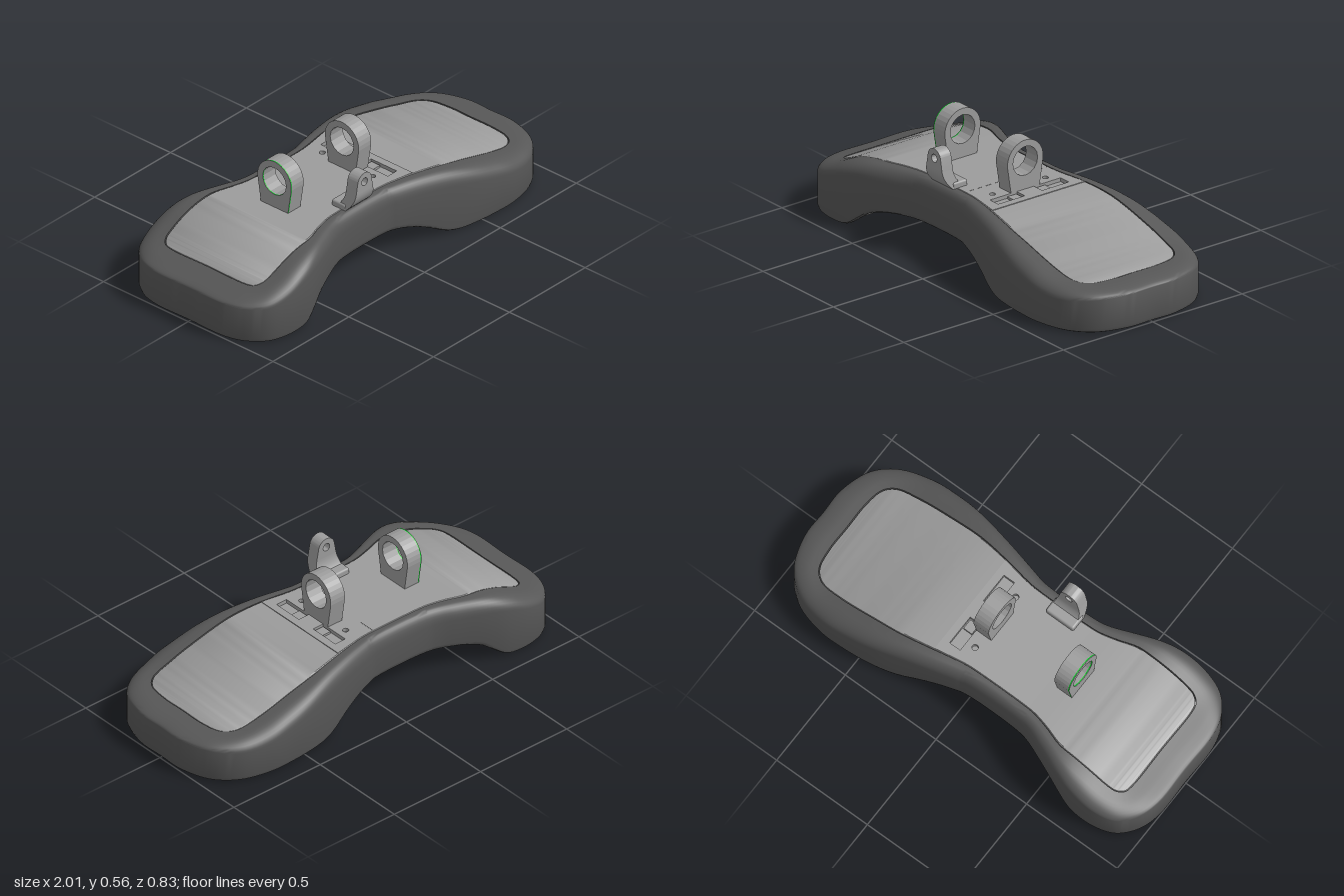
import * as THREE from 'three';
import { toCreasedNormals } from 'three/addons/utils/BufferGeometryUtils.js';
import { RoundedBoxGeometry } from 'three/addons/geometries/RoundedBoxGeometry.js';

const grey = new THREE.MeshStandardMaterial({ color: 0x9c9c9c });
const rubber = new THREE.MeshStandardMaterial({ color: 0x575757 });
const green = new THREE.MeshStandardMaterial({ color: 0x00cc22 });

// Smooth height profile through [x, y] points
function profile(pts) {
  const slope = (i) => {
    const a = pts[Math.max(i - 1, 0)], b = pts[Math.min(i + 1, pts.length - 1)];
    return (b[1] - a[1]) / (b[0] - a[0]);
  };
  return (x) => {
    x = THREE.MathUtils.clamp(x, pts[0][0], pts[pts.length - 1][0]);
    let i = 0;
    while (i < pts.length - 2 && x > pts[i + 1][0]) i++;
    const [x0, y0] = pts[i], [x1, y1] = pts[i + 1], h = x1 - x0, t = (x - x0) / h;
    const s = t * t * (3 - 2 * t);
    return y0 + (y1 - y0) * s + h * t * (1 - t) * ((1 - t) * slope(i) - t * slope(i + 1));
  };
}
const top = profile([[-1, 0.2], [-0.95, 0.204], [-0.88, 0.22], [-0.8, 0.25], [-0.7, 0.293], [-0.6, 0.319], [-0.48, 0.327],
  [-0.3, 0.327], [0.1, 0.327], [0.2, 0.323], [0.32, 0.31], [0.45, 0.284], [0.6, 0.246], [0.75, 0.208], [0.85, 0.195], [1, 0.19]]);
const bottom = profile([[-1, 0], [-0.72, 0], [-0.66, 0.012], [-0.6, 0.054], [-0.55, 0.09], [-0.47, 0.112],
  [-0.35, 0.12], [0, 0.12], [0.1, 0.106], [0.2, 0.07], [0.3, 0.017], [0.37, 0.001], [0.45, 0], [1, 0]]);

// Half outlines in plan (x, z): outer edge and matching edge of the deck panel
const outer = [[-1, 0], [-1, 0.2], [-0.97, 0.3], [-0.9, 0.38], [-0.8, 0.413], [-0.68, 0.413], [-0.58, 0.39], [-0.45, 0.341],
  [-0.36, 0.306], [-0.3, 0.293], [0, 0.293], [0.05, 0.305], [0.25, 0.355], [0.45, 0.4], [0.58, 0.413], [0.7, 0.412],
  [0.85, 0.37], [0.95, 0.28], [1, 0.13], [1, 0]];
const inner = [[-0.87, 0], [-0.87, 0.22], [-0.86, 0.26], [-0.83, 0.285], [-0.79, 0.293], [-0.6, 0.293], [-0.52, 0.288], [-0.43, 0.26],
  [-0.35, 0.24], [-0.3, 0.235], [0, 0.235], [0.05, 0.24], [0.22, 0.27], [0.35, 0.288], [0.5, 0.293], [0.68, 0.292],
  [0.8, 0.275], [0.85, 0.23], [0.87, 0.13], [0.87, 0]];
const M = 114;
const sample = (pts) => new THREE.CatmullRomCurve3(pts.map(([x, z]) => new THREE.Vector3(x, 0, z))).getPoints(M);
const outerPts = sample(outer), innerPts = sample(inner);

// Closed plan loop, u = 0 at the outer edge and u = 1 at the panel edge
function ring(u, height) {
  const half = outerPts.map((p, i) => p.clone().lerp(innerPts[i], u));
  const back = half.slice(1, M).reverse().map((p) => new THREE.Vector3(p.x, 0, -p.z));
  const loop = half.concat(back);
  loop.forEach((p) => { p.y = height(p.x); });
  return loop;
}

// Skin over rings from the underside to the top; strips cap the ends, open between indices lo and hi of the top
function loft(rings, capBottom, lo = 0, hi = 0) {
  const n = 2 * M, idx = [], pos = rings.flat().flatMap((p) => [p.x, p.y, p.z]);
  for (let k = 0; k < rings.length - 1; k++) for (let i = 0; i < n; i++) {
    const a = k * n + i, b = k * n + (i + 1) % n;
    idx.push(a, b, b + n, a, b + n, a + n);
  }
  const base = (rings.length - 1) * n;
  for (let i = 0; i < M; i++) {
    const j = (n - i) % n, l = n - i - 1;
    if (i < lo || i >= hi) idx.push(base + i, base + i + 1, base + l, base + i, base + l, base + j);
    if (capBottom) idx.push(i, l, i + 1, i, j, l);
  }
  const g = new THREE.BufferGeometry();
  g.setAttribute('position', new THREE.Float32BufferAttribute(pos, 3));
  g.setIndex(idx);
  return toCreasedNormals(g, 0.6);
}

// Moves every vertex by a rule
function warp(g, rule) {
  const p = g.attributes.position, v = new THREE.Vector3();
  for (let i = 0; i < p.count; i++) {
    v.fromBufferAttribute(p, i);
    rule(v);
    p.setXYZ(i, v.x, v.y, v.z);
  }
  g.computeVertexNormals();
  return g;
}

export function createModel() {
  const model = new THREE.Group();
  const add = (name, geometry, material = grey, parent = model) => {
    const m = new THREE.Mesh(geometry, material);
    m.name = name;
    parent.add(m);
  };

  // Rubber body: hollow underside, rounded foot edge, straight wall, rounded shoulder
  const radius = (x) => 0.07 - 0.045 * x ** 4;
  const rings = [[0.35, 0.022], [0.33, 0], [0.15, 0], [0.05, 0.006], [0, 0.022]].map(([u, h]) => ring(u, (x) => bottom(x) + h));
  for (let k = 0; k <= 8; k++) {
    const a = k / 8 * Math.PI / 2;
    rings.push(ring(0.7 * (1 - Math.cos(a)), (x) => top(x) - radius(x) * (1 - Math.sin(a))));
  }
  rings.push(ring(1, top), ring(1.01, (x) => top(x) - 0.022));
  add('body', loft(rings, true), rubber);

  // Deck panel set into the body, open where the mounting plate sits
  const deckEdge = ring(1.08, (x) => top(x) + 0.001);
  const lo = deckEdge.findIndex((p) => p.x > -0.05), hi = deckEdge.findIndex((p) => p.x > 0.17);
  add('deckPanel', loft([ring(1.04, (x) => top(x) - 0.02), ring(1.04, (x) => top(x) - 0.002), deckEdge], false, lo, hi));

  // Mounting plate with two slots and two screw holes
  const side = deckEdge.slice(lo, hi + 1);
  const plate = new THREE.Shape([
    ...side.map((p) => new THREE.Vector2(p.x, -p.z)),
    ...side.reverse().map((p) => new THREE.Vector2(p.x, p.z)),
  ]);
  for (const s of [-1, 1]) {
    const a = s * 0.048, b = s * 0.198;
    plate.holes.push(new THREE.Path([[0.095, a], [0.095, b], [0.153, b], [0.153, a]].map((p) => new THREE.Vector2(...p))));
    plate.holes.push(new THREE.Path().absarc(0.05, s * 0.148, 0.014, 0, Math.PI * 2, true));
    add('slotBlock', new THREE.BoxGeometry(0.046, 0.016, 0.05).translate(0.124, 0.313, s * 0.08));
  }
  add('mountingPlate', new THREE.ExtrudeGeometry(plate, { depth: 0.018, bevelEnabled: false }).rotateX(-Math.PI / 2).translate(0, 0.31, 0));
  add('slotFloor', new THREE.BoxGeometry(0.13, 0.004, 0.42).translate(0.09, 0.308, 0));

  // Low ribs and round bosses in the hollow underside
  const ribs = new THREE.Group();
  ribs.name = 'undersideRibs';
  model.add(ribs);
  const follow = (v) => { v.y += bottom(v.x) + 0.017; };
  for (const z of [-0.21, -0.07, 0.07, 0.21])
    add('longRib', toCreasedNormals(warp(new THREE.BoxGeometry(1.82, 0.014, 0.012, 90).translate(0, 0, z), follow), 0.6), rubber, ribs);
  const lip = ring(0.35, bottom).slice(0, M + 1);
  for (let x = -0.84; x < 0.9; x += 0.168) {
    const edge = lip.reduce((a, b) => (Math.abs(b.x - x) < Math.abs(a.x - x) ? b : a));
    add('crossRib', warp(new THREE.BoxGeometry(0.012, 0.014, 2 * edge.z).translate(x, 0, 0), follow), rubber, ribs);
  }
  for (const x of [-0.8, 0.76])
    add('boss', new THREE.TorusGeometry(0.06, 0.008, 8, 32).rotateX(Math.PI / 2).translate(x, 0.018, 0), rubber, ribs);

  // Ring brackets: a tapering foot under a round eye
  const eye = new THREE.Shape();
  eye.moveTo(-0.078, 0.315);
  eye.lineTo(0.078, 0.315);
  eye.absarc(0, 0.463, 0.1, -0.1, Math.PI + 0.1, false);
  eye.closePath();
  eye.holes.push(new THREE.Path().absarc(0, 0.463, 0.069, 0, Math.PI * 2, true));
  const slice = (x0, x1) => new THREE.ExtrudeGeometry(eye, { depth: x1 - x0, bevelEnabled: false, curveSegments: 8 })
    .rotateY(Math.PI / 2).translate(x0, 0, 0);
  add('innerBracket', slice(0.013, 0.095));
  add('outerBracket', slice(-0.426, -0.35));
  add('bracketStripe', slice(-0.43, -0.426), green);
  add('bracketFace', slice(-0.432, -0.43));

  // Lever on the front edge: an eye on a flared neck that curves back into its foot
  const lever = new THREE.Group();
  lever.name = 'lever';
  lever.position.x = -0.172;
  model.add(lever);
  const halfWidth = (y) => 0.077 - 0.029 * (y - 0.32) / 0.13;
  const head = new THREE.Shape();
  head.moveTo(-halfWidth(0.415), 0.415);
  head.lineTo(halfWidth(0.415), 0.415);
  head.absarc(0, 0.464, 0.046, 0.2, Math.PI - 0.2, false);
  head.closePath();
  head.holes.push(new THREE.Path().absarc(0, 0.464, 0.019, 0, Math.PI * 2, true));
  add('leverEye', toCreasedNormals(new THREE.ExtrudeGeometry(head, { depth: 0.06, bevelEnabled: false, curveSegments: 14 })
    .translate(0, 0, 0.24), 0.5), grey, lever);
  const neck = warp(new THREE.BoxGeometry(2, 0.095, 0.06, 1, 10, 1).translate(0, 0.3675, 0.27), (v) => {
    v.x *= halfWidth(v.y);
    v.z -= 0.055 * ((0.415 - v.y) / 0.095) ** 2;
  });
  add('leverNeck', toCreasedNormals(neck, 0.5), grey, lever);
  add('leverFoot', new RoundedBoxGeometry(0.152, 0.037, 0.08, 3, 0.01).translate(0, 0.338, 0.211), grey, lever);

  return model;
}
